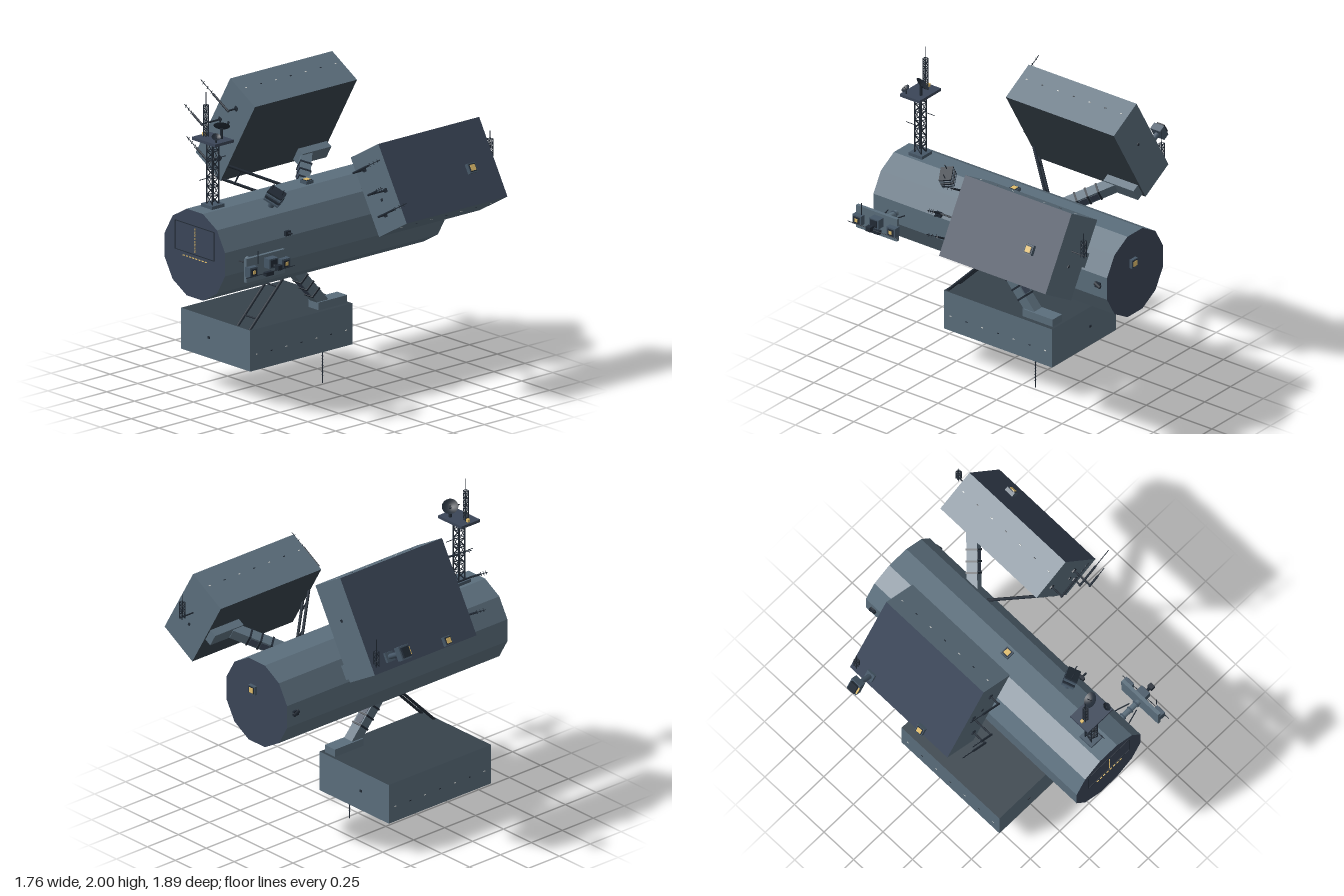
import * as THREE from 'three';

const paint = (name, color) => Object.assign(new THREE.MeshStandardMaterial({ color }), { name });

export function createModel() {
  const slate = paint('slate hull', 0x5b6e7c);
  const navy = paint('navy panel', 0x3b4658);
  const shade = paint('dark slate panel', 0x36424b);
  const metal = paint('dark metal', 0x222b36);
  const gear = paint('equipment grey', 0x465767);
  const glow = paint('warm light', 0xe0bd6c);
  const pale = paint('pale marker', 0xc4c8c6);

  const station = new THREE.Group();
  station.name = 'spaceStation';
  const V = (p) => new THREE.Vector3(...p);

  const group = (parent, name, pos = [0, 0, 0]) => {
    const g = new THREE.Group();
    g.name = name;
    g.position.set(...pos);
    parent.add(g);
    return g;
  };
  const add = (parent, name, geo, mat, pos = [0, 0, 0]) => {
    const m = new THREE.Mesh(geo, mat);
    m.name = name;
    m.position.set(...pos);
    parent.add(m);
    return m;
  };
  const box = (parent, name, size, pos, mat) => add(parent, name, new THREE.BoxGeometry(...size), mat, pos);
  // Round bar between two points
  const rod = (parent, name, a, b, r, mat = metal, sides = 6) => {
    const p = V(a), d = V(b).sub(p), len = d.length();
    const m = add(parent, name, new THREE.CylinderGeometry(r, r, len, sides), mat);
    m.position.copy(p).addScaledVector(d, 0.5);
    m.quaternion.setFromUnitVectors(new THREE.Vector3(0, 1, 0), d.normalize());
    return m;
  };
  // Square lattice mast with diagonal bracing
  const lattice = (parent, name, [x, y, z], h, half, bays, r) => {
    const g = group(parent, name, [x, y, z]);
    const c = [[-half, -half], [half, -half], [half, half], [-half, half]];
    c.forEach(([ax, az], i) => {
      const [bx, bz] = c[(i + 1) % 4];
      rod(g, 'mastLeg', [ax, 0, az], [ax, h, az], r);
      for (let k = 0; k < bays; k++) {
        const y0 = (h * k) / bays, y1 = (h * (k + 1)) / bays;
        rod(g, 'mastRung', [ax, y1, az], [bx, y1, bz], r * 0.7, metal, 4);
        rod(g, 'mastBrace', k % 2 ? [ax, y1, az] : [ax, y0, az], k % 2 ? [bx, y0, bz] : [bx, y1, bz], r * 0.7, metal, 4);
      }
    });
    return g;
  };
  // Framed lit window lying on a surface whose normal is local +y
  const windowBox = (parent, pos, size = 0.056) => {
    const g = group(parent, 'window', pos);
    box(g, 'windowFrame', [size, 0.03, size], [0, 0.01, 0], gear);
    box(g, 'windowRim', [size * 0.8, 0.004, size * 0.8], [0, 0.026, 0], metal);
    box(g, 'windowPane', [size * 0.6, 0.004, size * 0.6], [0, 0.029, 0], glow);
    return g;
  };

  // Main hull: twelve-sided drum along z, with darker end caps
  const AX = -0.025, AY = 1.02, R = 0.282;
  const hullGeo = new THREE.CylinderGeometry(R, R, 1.78, 12).toNonIndexed();
  hullGeo.rotateY(Math.PI / 12).rotateX(Math.PI / 2).computeVertexNormals();
  hullGeo.clearGroups();
  hullGeo.addGroup(0, 72, 0);
  hullGeo.addGroup(72, 72, 1);
  add(station, 'hull', hullGeo, [slate, navy], [AX, AY, 0.05]);
  // Door outline and marker dashes on the front cap
  const door = group(station, 'frontDoor', [AX, AY, 0.942]);
  for (const s of [-1, 1]) box(door, 'doorEdge', [0.004, 0.18, 0.004], [s * 0.175, 0.09, 0], metal);
  for (const y of [0, 0.18]) box(door, 'doorSill', [0.35, 0.004, 0.004], [0, y, 0], metal);
  for (let i = 0; i < 8; i++) {
    box(door, 'verticalDash', [0.005, 0.013, 0.006], [0.004, 0.02 + i * 0.02, 0], glow);
    box(door, 'horizontalDash', [0.016, 0.005, 0.006], [-0.095 + i * 0.028, -0.025, 0], glow);
  }
  windowBox(station, [0, AY + 0.268, 0.06]);
  windowBox(station, [0, 1.1, -0.835]).rotation.x = -Math.PI / 2;
  for (const s of [-1, 1]) {
    box(station, 'thrusterBase', [0.02, 0.035, 0.04], [AX + s * 0.275, 1.03, -0.775], metal);
    rod(station, 'thruster', [AX + s * 0.28, 1.02, -0.795], [AX + s * 0.28, 1.04, -0.755], 0.014);
  }
  rod(station, 'sideWhip', [0.2, 1.11, 0.44], [0.29, 1.12, 0.44], 0.006);
  box(station, 'sideWhipHead', [0.02, 0.03, 0.04], [0.25, 1.115, 0.44], metal);

  // Three storage pods; local +y points outward from the hull axis, +x along the hull's circumference
  const pods = [
    { name: 'leftPod', turn: 60, w: 0.62, h: 0.257, d: 0.822, x: 0.245, r: 0.663, z: -0.122 },
    { name: 'rightPod', turn: -60, w: 0.51, h: 0.287, d: 0.812, x: 0, r: 0.687, z: -0.415 },
    { name: 'lowerPod', turn: 180, w: 0.62, h: 0.258, d: 0.825, x: 0.237, r: 0.67, z: 0.147 },
  ].map((p) => {
    const g = group(station, p.name, [AX, AY, p.z]);
    g.rotation.z = THREE.MathUtils.degToRad(p.turn);
    box(g, 'podBody', [p.w, p.h, p.d], [p.x, p.r, 0], [slate, slate, navy, shade, slate, slate]);
    const inner = p.r - p.h / 2;
    // Slanted main arm with collars and foot
    const arm = group(g, 'arm', [0, 0.375, -0.105]);
    arm.rotation.x = -0.72;
    box(arm, 'armBeam', [0.07, 0.36, 0.068], [0, 0, 0], slate);
    for (const y of [-0.07, 0, 0.07]) box(arm, 'armCollar', [0.078, 0.012, 0.076], [0, y, 0], metal);
    for (const y of [-0.035, 0.035]) box(arm, 'armPlate', [0.05, 0.05, 0.073], [0, y, 0], navy);
    box(g, 'armFoot', [0.09, 0.05, 0.23], [0, inner - 0.024, -0.28], slate);
    // Pair of braces with cross bars
    for (const s of [-1, 1]) rod(g, 'brace', [s * 0.055, 0.262, 0.12], [s * 0.055, inner + 0.005, 0.4], 0.009);
    for (const t of [0.2, 0.8]) rod(g, 'braceBar', [-0.055, 0.262 + t * (inner - 0.262), 0.12 + 0.28 * t], [0.055, 0.262 + t * (inner - 0.262), 0.12 + 0.28 * t], 0.005);
    // Row of small markers on the pod ends
    for (const s of [-1, 1])
      for (let i = -3; i <= 3; i++)
        box(g, 'marker', [0.004, 0.006, 0.014], [p.x + (s * p.w) / 2, p.r + 0.03, i * 0.12], i % 2 ? pale : metal);
    for (const s of [-1, 1]) box(g, 'endMarker', [0.018, 0.014, 0.01], [p.x + 0.06, p.r, (s * p.d) / 2], metal);
    return { g, ...p, front: p.d / 2, top: p.r + p.h / 2 };
  });
  const [left, right, lower] = pods;
  windowBox(left.g, [-0.03, left.top, 0.18]);
  windowBox(right.g, [0.034, right.top, -0.205], 0.062);

  // Bent whip aerials on pod fronts: [x, outward start, reach, length]
  const aerial = (p, x, y, reach, len) => {
    const g = group(p.g, 'aerial', [x, y, p.front]);
    box(g, 'aerialFoot', [0.025, 0.025, 0.01], [0, 0, 0.003], metal);
    rod(g, 'aerialArm', [0, 0, 0], [0, 0, reach], 0.006);
    rod(g, 'aerialSleeve', [0, -0.008, reach], [0, len * 0.55, reach], 0.007);
    rod(g, 'aerialWhip', [0, len * 0.5, reach], [0, len, reach], 0.0025);
    for (const t of [0.6, 0.75, 0.9]) rod(g, 'aerialTine', [-0.012, len * t, reach], [0.012, len * t, reach], 0.002);
  };
  aerial(left, 0.43, 0.655, 0.07, 0.28);
  aerial(left, 0.27, 0.73, 0.15, 0.18);
  aerial(left, 0.06, 0.61, 0.1, 0.22);
  aerial(right, -0.15, 0.63, 0.088, 0.27);
  aerial(right, 0.152, 0.675, 0.055, 0.28);
  aerial(right, 0.018, 0.752, 0.138, 0.14);

  // Sensor head on the left pod
  const sensor = group(left.g, 'podSensor', [0.008, left.top, -0.268]);
  box(sensor, 'sensorBase', [0.06, 0.02, 0.06], [0, 0.008, 0], gear);
  rod(sensor, 'sensorStem', [0, 0, 0], [0, 0.14, 0], 0.017, gear, 8);
  box(sensor, 'sensorHead', [0.085, 0.045, 0.075], [0, 0.15, 0], gear);
  box(sensor, 'sensorFace', [0.065, 0.02, 0.055], [0, 0.178, 0], metal);
  box(sensor, 'sensorLamp', [0.05, 0.005, 0.01], [0, 0.175, 0.036], glow);
  lattice(station, 'podMast', [-0.72, 1.4, -0.5], 0.1, 0.012, 3, 0.003);
  rod(station, 'podMastTip', [-0.72, 1.4, -0.5], [-0.72, 1.58, -0.5], 0.0025);
  // Rear mast on the right pod
  rod(station, 'rearAerialArm', [0.565, 1.4, -0.81], [0.565, 1.4, -0.93], 0.005);
  lattice(station, 'rearAerial', [0.565, 1.39, -0.91], 0.11, 0.012, 4, 0.003);
  rod(station, 'rearAerialTip', [0.565, 1.39, -0.91], [0.565, 1.55, -0.91], 0.0025);
  // Hanging aerials under the lower pod
  rod(station, 'hangingAerial', [-0.02, 0.23, -0.085], [-0.02, 0, -0.085], 0.003);
  for (let i = 0; i < 8; i++) rod(station, 'hangingTine', [-0.028, 0.05 + i * 0.02, -0.085], [-0.012, 0.05 + i * 0.02, -0.085], 0.002);
  rod(station, 'lowerProbe', [-0.06, 0.23, -0.17], [-0.06, 0.18, -0.17], 0.005);
  add(station, 'lowerProbeHead', new THREE.SphereGeometry(0.018, 10, 6), metal, [-0.06, 0.19, -0.17]).scale.y = 0.6;

  // Lattice tower with platform
  const tower = group(station, 'tower', [AX, 0, 0.795]);
  box(tower, 'towerBase', [0.1, 0.025, 0.1], [0, 1.3, 0], gear);
  lattice(tower, 'towerMast', [0, 1.31, 0], 0.39, 0.025, 7, 0.005);
  box(tower, 'platformNeck', [0.07, 0.02, 0.07], [0, 1.695, 0], gear);
  box(tower, 'platform', [0.21, 0.018, 0.15], [0, 1.713, 0], navy);
  lattice(tower, 'upperMast', [-0.055, 1.72, 0.005], 0.2, 0.011, 8, 0.003);
  rod(tower, 'upperSpike', [-0.055, 1.9, 0.005], [-0.055, 2, 0.005], 0.002);
  rod(tower, 'towerWhipRear', [0, 1.59, -0.02], [0, 1.59, -0.105], 0.0025);
  rod(tower, 'towerWhipFront', [0, 1.48, 0.02], [0, 1.48, 0.11], 0.0025);
  box(tower, 'platformLamp', [0.018, 0.02, 0.018], [-0.08, 1.73, 0], glow);
  const dishMat = metal.clone();
  dishMat.name = 'dish metal';
  dishMat.side = THREE.DoubleSide;
  const dish = (name, pos, r, dir) => {
    rod(tower, name + 'Post', [pos[0], 1.72, pos[2]], pos, r * 0.2);
    const g = group(tower, name, pos);
    const curve = [0, 0.35, 0.7, 1].map((t) => new THREE.Vector2(r * t, r * 0.35 * t * t));
    add(g, 'dishBowl', new THREE.LatheGeometry(curve, 20), dishMat);
    rod(g, 'dishFeed', [0, 0, 0], [0, r * 0.8, 0], r * 0.05);
    g.quaternion.setFromUnitVectors(new THREE.Vector3(0, 1, 0), V(dir).normalize());
  };
  dish('mainDish', [0.04, 1.785, -0.035], 0.05, [-0.45, 0.75, -0.5]);
  dish('smallDish', [0.08, 1.752, 0.045], 0.028, [0.5, 0.8, 0.3]);

  // Louvred unit on the upper hull face
  const unit = group(station, 'louvreUnit', [AX + 0.135, AY + 0.235, 0.45]);
  unit.rotation.z = -Math.PI / 6;
  const turned = group(unit, 'louvreStack', [0, 0, 0]);
  turned.rotation.y = 0.45;
  rod(turned, 'louvrePost', [0, 0, 0], [0, 0.06, 0], 0.02, gear, 8);
  for (let i = 0; i < 4; i++) box(turned, 'louvre', [0.1, 0.011, 0.08], [0, 0.05 + i * 0.02, 0], i % 2 ? metal : gear);
  box(turned, 'louvreCore', [0.075, 0.07, 0.06], [0, 0.08, 0], metal);
  for (const s of [-1, 1]) rod(turned, 'louvreWhip', [s * 0.035, 0.1, 0], [s * 0.035, 0.155, 0], 0.0035);

  // Side boom with instrument rack
  const boom = group(station, 'sideBoom', [0.24, 1.02, 0.765]);
  rod(boom, 'boomTube', [0, 0, 0], [0.17, 0, 0], 0.018, slate, 10);
  for (const x of [0.03, 0.09, 0.14]) rod(boom, 'boomRing', [x, 0, 0], [x + 0.008, 0, 0], 0.024, gear, 10);
  for (const s of [-1, 1]) rod(boom, 'boomStay', [0, 0, s * 0.065], [0.12, 0, s * 0.03], 0.004);
  box(boom, 'rackPlate', [0.022, 0.15, 0.31], [0.178, 0, 0.01], slate);
  for (const z of [-0.125, 0.135]) {
    box(boom, 'rackModule', [0.045, 0.062, 0.065], [0.2, -0.005, z], gear);
    box(boom, 'rackFace', [0.006, 0.042, 0.045], [0.224, -0.005, z], metal);
    box(boom, 'rackLamp', [0.006, 0.022, 0.022], [0.227, -0.005, z], glow);
  }
  box(boom, 'centreModule', [0.06, 0.06, 0.07], [0.21, 0.025, -0.01], gear);
  box(boom, 'centreFace', [0.006, 0.045, 0.05], [0.241, 0.025, -0.01], metal);
  rod(boom, 'probe', [0.23, 0.01, -0.01], [0.29, 0.01, -0.01], 0.01);
  box(boom, 'probeHead', [0.03, 0.03, 0.035], [0.285, 0.01, -0.01], metal);
  box(boom, 'lowerModule', [0.04, 0.022, 0.06], [0.2, -0.045, 0], metal);
  rod(boom, 'rackWhip', [0.22, 0.04, 0.1], [0.22, 0.12, 0.1], 0.003);
  rod(boom, 'rackCrossWhip', [0.225, -0.03, -0.19], [0.225, -0.03, 0.2], 0.0025);
  return station;
}
